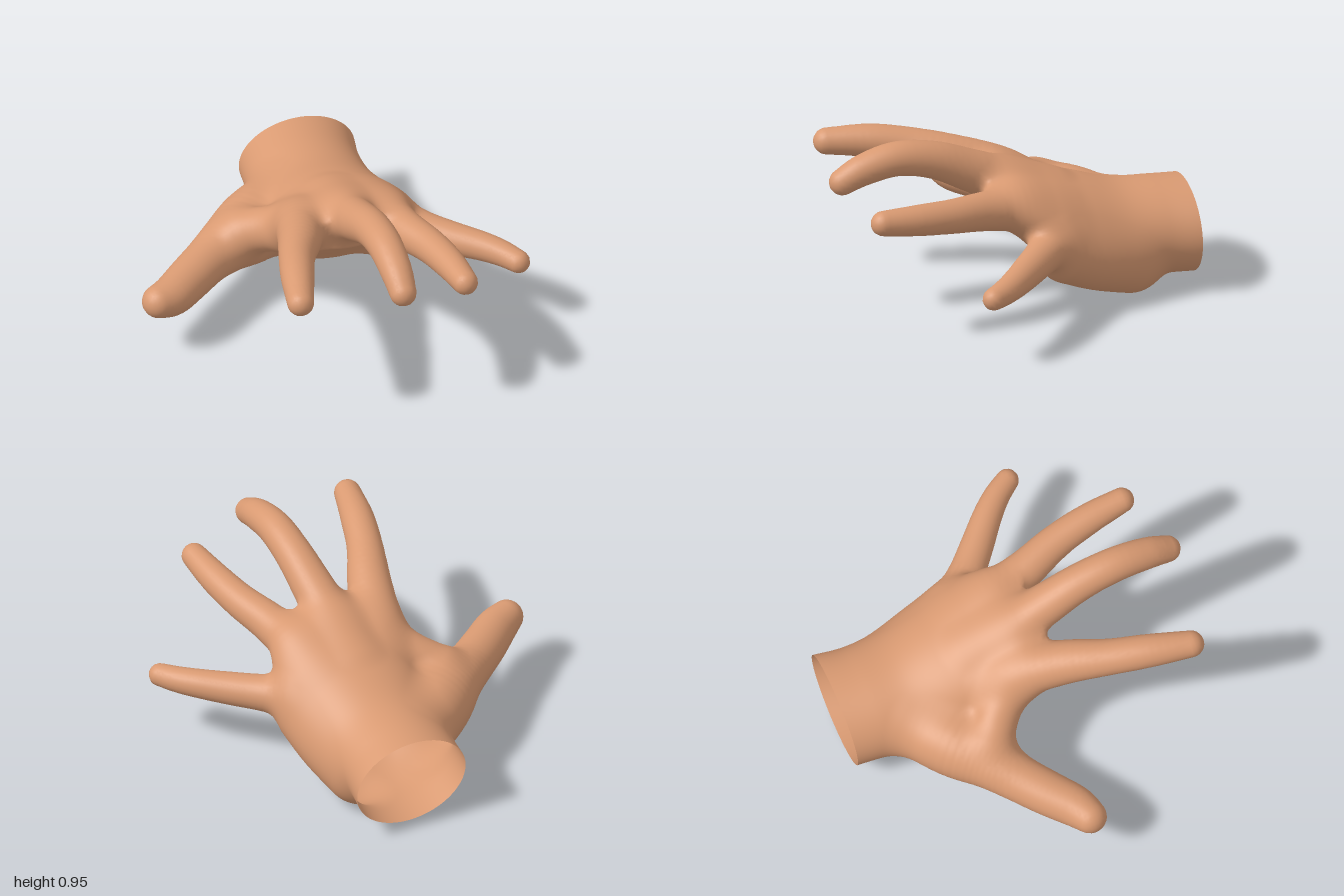
import * as THREE from 'three';

// Limbs: rows of [x, y, z, radius] along the bone, root to tip (the palm's own limb is its heel)
const LIMBS = {
  palm: [[0.275, 0.183, -0.62, 0.178], [0.335, 0.25, -0.42, 0.175], [0.375, 0.32, -0.25, 0.168]],
  thumbWeb: [[-0.13, 0.53, -0.08, 0.128], [-0.235, 0.465, -0.2, 0.118], [-0.35, 0.405, -0.29, 0.118]],
  thumb: [[-0.06, 0.29, -0.595, 0.19], [-0.25, 0.305, -0.45, 0.193], [-0.42, 0.318, -0.33, 0.152],
    [-0.56, 0.308, -0.235, 0.125], [-0.7, 0.3, -0.12, 0.117], [-0.82, 0.3, -0.017, 0.108], [-0.91, 0.315, 0.032, 0.088]],
  indexFinger: [[-0.08, 0.48, -0.18, 0.125], [-0.135, 0.6, 0, 0.13], [-0.2, 0.677, 0.2, 0.114],
    [-0.277, 0.732, 0.4, 0.095], [-0.335, 0.763, 0.6, 0.087], [-0.385, 0.768, 0.814, 0.07]],
  middleFinger: [[0.1, 0.53, -0.22, 0.13], [0.1, 0.633, 0, 0.125], [0.115, 0.733, 0.2, 0.111],
    [0.13, 0.825, 0.4, 0.098], [0.138, 0.863, 0.6, 0.091], [0.143, 0.83, 0.78, 0.083], [0.143, 0.775, 0.9, 0.07]],
  ringFinger: [[0.26, 0.47, -0.22, 0.125], [0.32, 0.572, 0, 0.12], [0.375, 0.61, 0.2, 0.103],
    [0.445, 0.639, 0.4, 0.09], [0.488, 0.663, 0.6, 0.081], [0.511, 0.683, 0.797, 0.066]],
  littleFinger: [[0.43, 0.4, -0.16, 0.115], [0.555, 0.388, -0.045, 0.095], [0.675, 0.383, 0.06, 0.086],
    [0.8, 0.383, 0.168, 0.076], [0.882, 0.38, 0.253, 0.068], [0.942, 0.375, 0.336, 0.06]],
};

// Palm and wrist: elliptical sections [centre x, centre y, half width, half height], every 0.2 in z from -1
const SECTIONS = [
  [0.145, 0.292, 0.315, 0.247], [0.125, 0.293, 0.31, 0.25], [0.12, 0.29, 0.33, 0.265],
  [0.12, 0.34, 0.36, 0.275], [0.14, 0.44, 0.37, 0.245], [0.11, 0.565, 0.35, 0.18], [0.1, 0.632, 0.2, 0.075],
];
const PALM_END = 0.13;
const BLEND = 0.07;

// Smooth interpolation through equally spaced rows of numbers
function through(rows, t) {
  const n = rows.length - 1;
  const i = Math.min(n - 1, Math.max(0, Math.floor(t)));
  const f = t - i;
  const row = (j) => rows[Math.min(n, Math.max(0, j))];
  return rows[i].map((b, c) => {
    const a = row(i - 1)[c], d = row(i + 1)[c], e = row(i + 2)[c];
    return b + 0.5 * f * (d - a + f * (2 * a - 5 * b + 4 * d - e + f * (3 * (b - d) + e - a)));
  });
}

function limbDistance(path, x, y, z) {
  let best = Infinity;
  for (let i = 0; i + 1 < path.length; i++) {
    const a = path[i], b = path[i + 1];
    const ux = b[0] - a[0], uy = b[1] - a[1], uz = b[2] - a[2];
    const px = x - a[0], py = y - a[1], pz = z - a[2];
    const h = Math.min(1, Math.max(0, (px * ux + py * uy + pz * uz) / (ux * ux + uy * uy + uz * uz)));
    const dx = px - h * ux, dy = py - h * uy, dz = pz - h * uz;
    best = Math.min(best, Math.sqrt(dx * dx + dy * dy + dz * dz) - a[3] - h * (b[3] - a[3]));
  }
  return best;
}

function palmDistance(x, y, z) {
  const zc = Math.min(PALM_END, Math.max(-1, z));
  const [cx, cy, rx, ry] = through(SECTIONS, (zc + 1) / 0.2);
  const px = (x - cx) / rx, py = (y - cy) / ry;
  const k0 = Math.hypot(px, py), k1 = Math.hypot(px / rx, py / ry);
  const d = k1 < 1e-6 ? -Math.min(rx, ry) : k0 * (k0 - 1) / k1;
  const dz = z - PALM_END;
  return Math.min(Math.max(d, dz), 0) + Math.hypot(Math.max(d, 0), Math.max(dz, 0));
}

const blend = (a, b) => {
  const h = Math.max(BLEND - Math.abs(a - b), 0) / BLEND;
  return Math.min(a, b) - h * h * BLEND * 0.25;
};

export function createModel() {
  const names = Object.keys(LIMBS);
  const paths = names.map((name) => {
    const rows = LIMBS[name], steps = (rows.length - 1) * 6;
    return Array.from({ length: steps + 1 }, (_, i) => through(rows, i / 6));
  });
  const field = (x, y, z) => {
    let d = palmDistance(x, y, z);
    for (const path of paths) d = blend(d, limbDistance(path, x, y, z));
    return d;
  };
  const gradient = (p) => {
    const e = 0.012;
    return [0, 1, 2].map((c) => {
      const a = [...p], b = [...p];
      a[c] += e; b[c] -= e;
      return (field(...a) - field(...b)) / (2 * e);
    });
  };

  // Sample the blended skin on a grid that stops at the open wrist
  const H = 0.022, origin = [-1.06, -0.06, -0.97];
  const size = [97, 50, 91];
  const stride = [1, size[0], size[0] * size[1]];
  const values = new Float32Array(size[0] * size[1] * size[2]);
  for (let k = 0, n = 0; k < size[2]; k++)
    for (let j = 0; j < size[1]; j++)
      for (let i = 0; i < size[0]; i++, n++)
        values[n] = field(origin[0] + i * H, origin[1] + j * H, origin[2] + k * H);

  // One skin point in each grid cell the surface crosses
  const cellPoint = new Int32Array(values.length).fill(-1);
  const points = [], normals = [];
  for (let k = 0; k < size[2] - 1; k++)
    for (let j = 0; j < size[1] - 1; j++)
      for (let i = 0; i < size[0] - 1; i++) {
        const base = i + j * stride[1] + k * stride[2];
        const sum = [0, 0, 0];
        let hits = 0;
        for (let corner = 0; corner < 8; corner++)
          for (let a = 0; a < 3; a++) {
            if (corner >> a & 1) continue;
            const off = [corner & 1, corner >> 1 & 1, corner >> 2 & 1];
            const n = base + off[0] + off[1] * stride[1] + off[2] * stride[2];
            const v0 = values[n], v1 = values[n + stride[a]];
            if (v0 < 0 === v1 < 0) continue;
            off[a] += v0 / (v0 - v1);
            for (let c = 0; c < 3; c++) sum[c] += off[c];
            hits++;
          }
        if (!hits) continue;
        const p = [i, j, k].map((v, c) => origin[c] + (v + sum[c] / hits) * H);
        // Settle the point on the skin
        for (let pass = 0; pass < 2; pass++) {
          const g = gradient(p), d = field(...p);
          const s = Math.max(-H, Math.min(H, d)) / Math.max(0.3, g[0] ** 2 + g[1] ** 2 + g[2] ** 2);
          for (let c = 0; c < 3; c++) p[c] -= g[c] * s;
        }
        if (k === 0) p[2] = origin[2] + H / 2;
        cellPoint[base] = points.length;
        points.push(p);
        normals.push(new THREE.Vector3(...gradient(p)).normalize().toArray());
      }

  // Join the points into quads and sort them by the part they lie on
  const faces = names.map(() => []);
  for (let k = 1; k < size[2] - 1; k++)
    for (let j = 1; j < size[1] - 1; j++)
      for (let i = 1; i < size[0] - 1; i++)
        addQuads(i + j * stride[1] + k * stride[2]);
  function addQuads(n) {
    for (let a = 0; a < 3; a++) {
      const inside = values[n] < 0;
      if (inside === values[n + stride[a]] < 0) continue;
      const b = stride[(a + 1) % 3], c = stride[(a + 2) % 3];
      const q = [n - b - c, n - c, n, n - b].map((cell) => cellPoint[cell]);
      if (q.includes(-1)) continue;
      if (!inside) q.reverse();
      const m = [0, 1, 2].map((x) => q.reduce((s, v) => s + points[v][x] / 4, 0));
      let part = 0, best = Math.min(palmDistance(...m), limbDistance(paths[0], ...m));
      for (let f = 1; f < paths.length; f++) {
        const d = limbDistance(paths[f], ...m);
        if (d < best) { best = d; part = f; }
      }
      faces[part].push(q[0], q[1], q[2], q[0], q[2], q[3]);
    }
  }

  const skin = new THREE.MeshStandardMaterial({ color: 0xd99a72, side: THREE.DoubleSide });
  skin.name = 'skin';
  const hand = new THREE.Group();
  hand.name = 'hand';
  names.forEach((name, part) => {
    const used = new Map();
    const index = faces[part].map((v) => {
      if (!used.has(v)) used.set(v, used.size);
      return used.get(v);
    });
    const list = [...used.keys()];
    const geometry = new THREE.BufferGeometry();
    geometry.setAttribute('position', new THREE.Float32BufferAttribute(list.flatMap((v) => points[v]), 3));
    geometry.setAttribute('normal', new THREE.Float32BufferAttribute(list.flatMap((v) => normals[v]), 3));
    geometry.setIndex(index);
    const mesh = new THREE.Mesh(geometry, skin);
    mesh.name = name;
    hand.add(mesh);
  });
  return hand;
}
